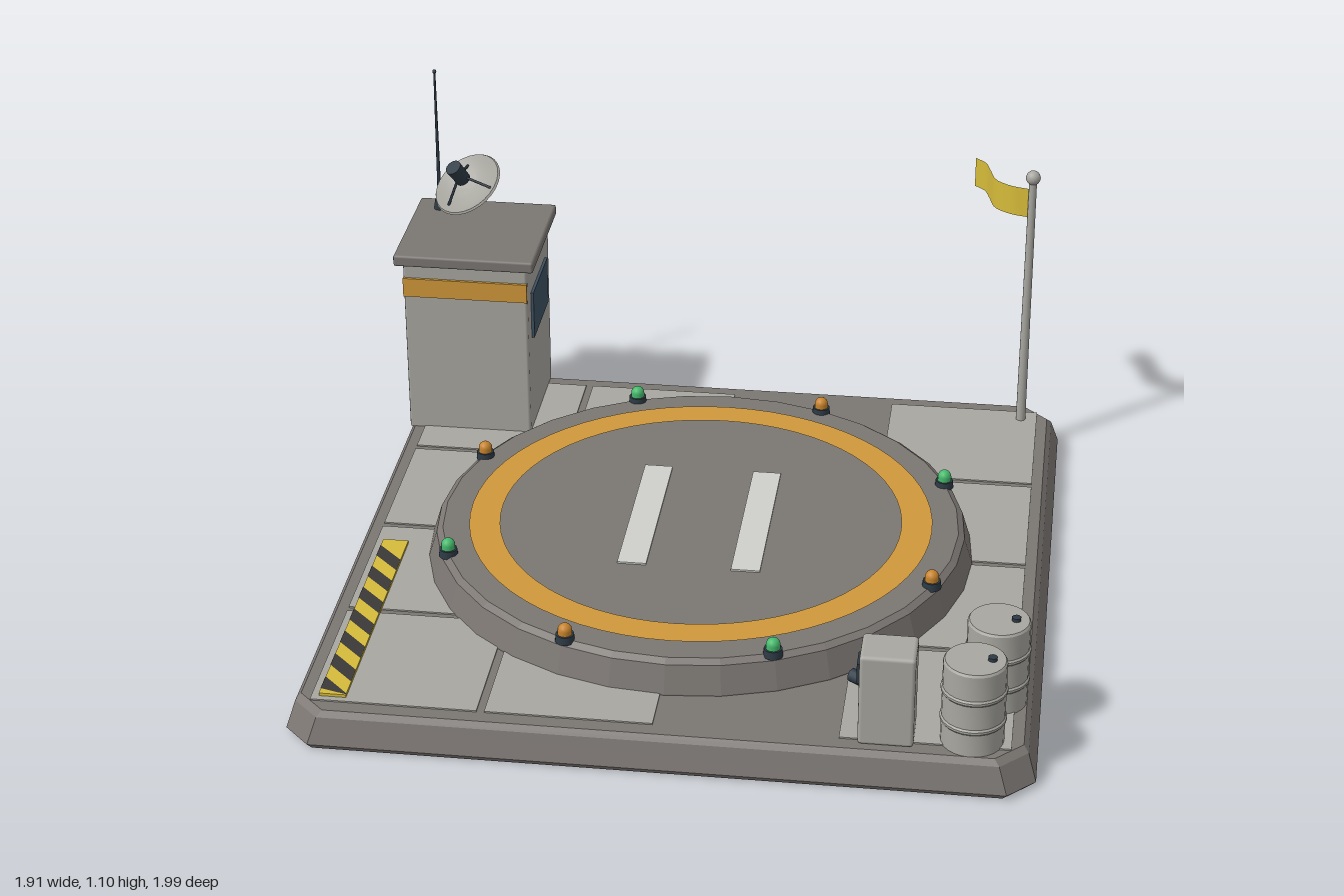
import * as THREE from 'three';
import { toCreasedNormals } from 'three/addons/utils/BufferGeometryUtils.js';
import { RoundedBoxGeometry } from 'three/addons/geometries/RoundedBoxGeometry.js';
import { ConvexGeometry } from 'three/addons/geometries/ConvexGeometry.js';

const CZ = 0.037; // centre of the slab in z

const material = (name, color) => {
  const m = new THREE.MeshStandardMaterial({ color });
  m.name = name;
  return m;
};

export function createModel() {
  const concrete = material('concrete', 0x7b7672);
  const panel = material('lightPanel', 0xa8a7a0);
  const orange = material('orangePaint', 0xcf983a);
  const white = material('whitePaint', 0xcfcfcb);
  const yellow = material('yellow', 0xd6bb3a);
  const black = material('blackStripe', 0x3a3937);
  const green = material('greenLens', 0x45b96c);
  const amber = material('amberLens', 0xc8842c);
  const dark = material('darkMetal', 0x2d3a45);
  const glass = material('windowGlass', 0x3d5061);
  yellow.side = THREE.DoubleSide; // the flag is a single sheet

  const model = new THREE.Group();
  model.name = 'landingPad';

  const add = (name, geometry, mat, x = 0, y = 0, z = 0, parent = model) => {
    const mesh = new THREE.Mesh(geometry, mat);
    mesh.name = name;
    mesh.position.set(x, y, z);
    parent.add(mesh);
    return mesh;
  };
  const box = (w, h, d) => new THREE.BoxGeometry(w, h, d);
  const cyl = (top, bottom, h, sides = 16) => new THREE.CylinderGeometry(top, bottom, h, sides);
  const lathe = (points, sides, crease = 0.5) => toCreasedNormals(
    new THREE.LatheGeometry(points.map(([r, y]) => new THREE.Vector2(r, y)), sides), crease);
  const vec = (p) => new THREE.Vector3(...p);

  // Slab with chamfered corners and tapered sides
  const corners = [];
  for (const [y, half] of [[0, 0.945], [0.015, 0.955], [0.085, 0.933], [0.1, 0.92]]) {
    const cut = half - 0.07;
    for (const sx of [-1, 1]) for (const sz of [-1, 1]) {
      corners.push(new THREE.Vector3(sx * half, y, sz * cut), new THREE.Vector3(sx * cut, y, sz * half));
    }
  }
  add('slab', new ConvexGeometry(corners), concrete, 0, 0, CZ);

  // Paving panels, leaving the third column bare
  for (const col of [0, 1, 3]) for (let row = 0; row < 4; row++) {
    add('pavingPanel', box(0.43, 0.008, 0.425), panel, -0.675 + col * 0.45, 0.1, CZ - 0.6675 + row * 0.445);
  }

  // Raised round deck with its painted ring and touchdown bars
  add('deck', lathe([[0, 0.09], [0.745, 0.09], [0.745, 0.103], [0.722, 0.178], [0.705, 0.19], [0, 0.19]], 32, 0.1),
    concrete, 0, 0, CZ);
  add('deckRing', new THREE.RingGeometry(0.549, 0.633, 64).rotateX(-Math.PI / 2), orange, 0, 0.194, CZ);
  for (const side of [-1, 1]) {
    add('touchdownBar', box(0.078, 0.006, 0.53), white, side * 0.153, 0.192, CZ);
  }

  // Edge lights, alternating colours
  for (let i = 0; i < 8; i++) {
    const a = (i + 0.5) * Math.PI / 4;
    const light = new THREE.Group();
    light.name = 'edgeLight';
    light.position.set(0.703 * Math.cos(a), 0, CZ + 0.703 * Math.sin(a));
    model.add(light);
    add('lightBase', cyl(0.024, 0.026, 0.022), dark, 0, 0.194, 0, light);
    add('lightLens', new THREE.CapsuleGeometry(0.019, 0.02, 5, 14), i % 2 ? green : amber, 0, 0.206, 0, light);
  }

  // Hazard strip
  const x0 = -0.87, x1 = -0.8, zEnd = 0.9;
  add('hazardStrip', box(x1 - x0, 0.008, 0.77), yellow, (x0 + x1) / 2, 0.108, 0.515);
  for (let i = 0; i < 7; i++) {
    const z = 0.165 + i * 0.11;
    const outline = [[x0, z], [x1, z + 0.07], [x1, z + 0.125], [x0, z + 0.055]]
      .map(([x, zz]) => new THREE.Vector2(x, -Math.min(zz, zEnd)));
    add('hazardStripe', new THREE.ShapeGeometry(new THREE.Shape(outline)).rotateX(-Math.PI / 2), black, 0, 0.114, 0);
  }

  // Control tower
  const tower = new THREE.Group();
  tower.name = 'controlTower';
  tower.position.set(-0.755, 0, -0.717);
  model.add(tower);
  add('towerWalls', new RoundedBoxGeometry(0.36, 0.54, 0.36, 1, 0.008), panel, 0, 0.365, 0, tower);
  add('towerRoof', new RoundedBoxGeometry(0.405, 0.034, 0.405, 1, 0.007), concrete, 0, 0.646, 0, tower);
  add('towerBand', box(0.36, 0.057, 0.01), orange, 0, 0.557, 0.183, tower);
  add('towerWindow', box(0.01, 0.144, 0.236), glass, 0.183, 0.458, 0.005, tower);

  // Antenna
  add('antennaBase', cyl(0.014, 0.017, 0.03), dark, -0.887, 0.677, -0.85);
  add('antennaRod', cyl(0.003, 0.006, 0.42, 8), dark, -0.887, 0.885, -0.85);
  add('antennaTip', new THREE.SphereGeometry(0.006, 8, 6), dark, -0.887, 1.095, -0.85);

  // Tilted dish with feed horn and three struts
  const dish = new THREE.Group();
  dish.name = 'dish';
  dish.position.set(-0.77, 0.813, -0.7);
  dish.quaternion.setFromUnitVectors(new THREE.Vector3(0, 1, 0), vec([-0.385, 0.81, 0.445]).normalize());
  model.add(dish);
  const bowl = [0, 0.2, 0.4, 0.6, 0.8, 1];
  add('dishBowl', lathe([
    ...bowl.map((t) => [0.106 * t, 0.034 * (t * t - 1)]),
    ...bowl.map((t) => [0.102 * t, 0.034 * (t * t - 1) + 0.006]).reverse(),
  ], 28, 0.6), panel, 0, 0, 0, dish);
  add('feedHorn', cyl(0.024, 0.022, 0.06), dark, 0, 0.055, 0, dish);
  for (let i = 0; i < 3; i++) {
    const a = i * Math.PI * 2 / 3 + 0.4;
    const path = new THREE.LineCurve3(
      vec([0.08 * Math.cos(a), -0.008, 0.08 * Math.sin(a)]), vec([0.012 * Math.cos(a), 0.04, 0.012 * Math.sin(a)]));
    add('dishStrut', new THREE.TubeGeometry(path, 1, 0.004, 6), dark, 0, 0, 0, dish);
  }

  // Flagpole and waving flag
  add('flagpole', cyl(0.011, 0.014, 0.78), panel, 0.843, 0.485, -0.8);
  add('poleBall', new THREE.SphereGeometry(0.021, 16, 12), panel, 0.843, 0.882, -0.8);
  const wave = new THREE.CatmullRomCurve3([
    [0.835, 0, -0.803], [0.785, 0, -0.818], [0.738, 0, -0.855], [0.718, 0, -0.92], [0.702, 0, -0.97], [0.672, 0, -1],
  ].map(vec));
  const flag = new THREE.PlaneGeometry(1, 0.088, 16, 1);
  const pos = flag.attributes.position;
  for (let i = 0; i < pos.count; i++) {
    const p = wave.getPoint(pos.getX(i) + 0.5);
    pos.setXYZ(i, p.x, pos.getY(i), p.z);
  }
  flag.computeVertexNormals();
  add('flag', flag, yellow, 0, 0.801, 0);

  // Fuel drums with ribs and filler caps
  const drum = lathe([
    [0, 0.1], [0.08, 0.1], [0.08, 0.163], [0.084, 0.168], [0.084, 0.174], [0.08, 0.179], [0.08, 0.247],
    [0.084, 0.252], [0.084, 0.258], [0.08, 0.263], [0.08, 0.332], [0.076, 0.338], [0, 0.338],
  ], 24);
  for (const [x, z] of [[0.84, 0.688], [0.79, 0.878]]) {
    add('fuelDrum', drum, panel, x, 0, z);
    add('drumCap', cyl(0.012, 0.012, 0.012, 10), dark, x + 0.042, 0.341, z);
  }

  // Fuel pump with display, hose and nozzle
  add('pumpBody', new RoundedBoxGeometry(0.14, 0.258, 0.118, 2, 0.01), panel, 0.577, 0.229, 0.88);
  add('pumpDisplay', box(0.009, 0.056, 0.06), dark, 0.504, 0.29, 0.88);
  const hose = new THREE.CatmullRomCurve3([
    [0.577, 0.29, 0.83], [0.577, 0.27, 0.793], [0.575, 0.19, 0.765], [0.553, 0.14, 0.715], [0.49, 0.122, 0.672],
  ].map(vec));
  add('pumpHose', new THREE.TubeGeometry(hose, 24, 0.013, 10), dark);
  add('hoseSocket', cyl(0.02, 0.02, 0.03, 12).rotateX(Math.PI / 2), dark, 0.577, 0.288, 0.815);
  const nozzle = add('hoseNozzle', cyl(0.018, 0.018, 0.045, 12).rotateZ(Math.PI / 2), dark, 0.488, 0.122, 0.671);
  nozzle.rotation.y = -0.6;

  return model;
}
